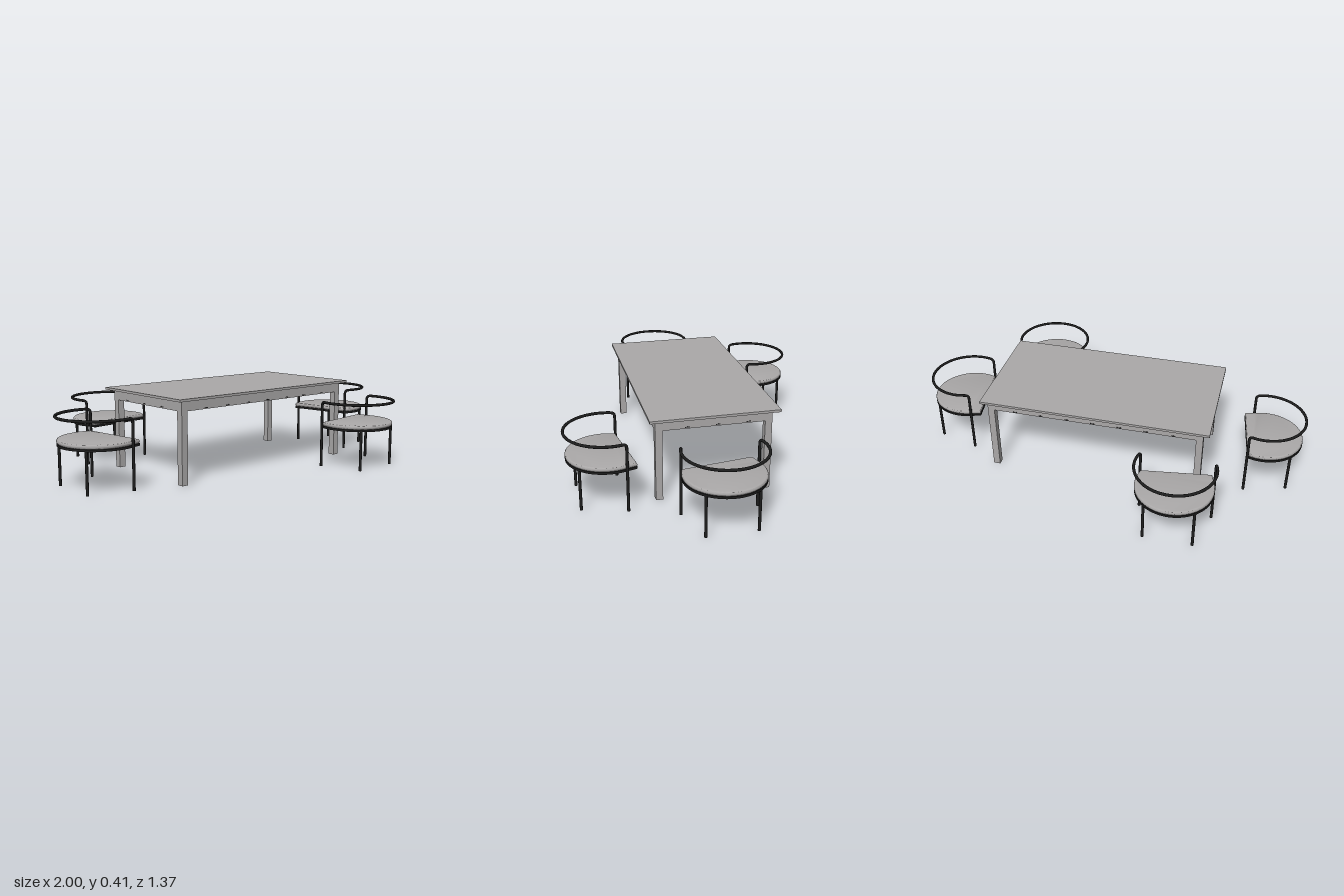
import * as THREE from 'three';
import { toCreasedNormals } from 'three/addons/utils/BufferGeometryUtils.js';

const stone = new THREE.MeshStandardMaterial({ color: 0xaaa8a8 });
stone.name = 'warm grey';
const black = new THREE.MeshStandardMaterial({ color: 0x1c1c1c });
black.name = 'black metal';

function add(parent, name, geometry, material, x = 0, y = 0, z = 0) {
  const mesh = new THREE.Mesh(geometry, material);
  mesh.name = name;
  mesh.position.set(x, y, z);
  parent.add(mesh);
  return mesh;
}

// Box given by its lower and upper corners
function addBox(parent, name, [x0, y0, z0], [x1, y1, z1], material) {
  return add(parent, name, new THREE.BoxGeometry(x1 - x0, y1 - y0, z1 - z0), material,
    (x0 + x1) / 2, (y0 + y1) / 2, (z0 + z1) / 2);
}

function createTable() {
  const table = new THREE.Group();
  table.name = 'table';
  const [x0, x1, z0, z1] = [-0.518, 0.577, -0.282, 0.272];
  addBox(table, 'tableTop', [-0.55, 0.4, -0.315], [0.605, 0.412, 0.301], stone);
  addBox(table, 'tableApron', [x0, 0.35, z0], [x1, 0.4, z1], stone);
  const w = 0.034;
  for (const x of [x0, x1 - w]) {
    for (const z of [z0, z1 - w]) {
      addBox(table, 'tableLeg', [x, 0, z], [x + w, 0.35, z + w], stone);
    }
  }
  // Small dark slots along the apron
  for (let i = -3; i <= 3; i++) {
    for (const z of [z0, z1]) {
      add(table, 'apronSlot', new THREE.BoxGeometry(0.022, 0.004, 0.002), black, 0.03 + i * 0.134, 0.356, z);
    }
  }
  for (let i = -1; i <= 1; i++) {
    for (const x of [x0, x1]) {
      add(table, 'apronSlot', new THREE.BoxGeometry(0.002, 0.004, 0.022), black, x, 0.357, -0.022 + i * 0.145);
    }
  }
  return table;
}

// Round seat outline with a straight front
function seatShape() {
  const a = -Math.asin(0.07 / 0.19);
  const shape = new THREE.Shape();
  shape.moveTo(0.162, -0.118);
  shape.absarc(0, 0, 0.19, a, Math.PI - a, false);
  shape.lineTo(-0.162, -0.118);
  shape.closePath();
  return shape;
}

function seatLayer(depth, bevel) {
  const geometry = new THREE.ExtrudeGeometry(seatShape(), {
    depth: depth - 2 * bevel, curveSegments: 40, bevelEnabled: bevel > 0,
    bevelThickness: bevel, bevelSize: bevel, bevelOffset: -bevel, bevelSegments: 4,
  });
  geometry.translate(0, 0, bevel).rotateX(-Math.PI / 2);
  return toCreasedNormals(geometry, 0.7);
}

// One bent tube: front leg, curved arm and back rail, other front leg
function armPath() {
  const r = 0.193, top = 0.335, bend = 0.02;
  const a = -Math.asin(0.07 / r);
  const at = (t, y) => new THREE.Vector3(r * Math.cos(t), y, -r * Math.sin(t));
  const start = a + bend / r, end = Math.PI - start;
  const arc = [];
  for (let i = 0; i <= 32; i++) arc.push(at(start + (end - start) * i / 32, top));
  const path = new THREE.CurvePath();
  const b = Math.PI - a;
  path.add(new THREE.LineCurve3(at(a, 0), at(a, top - bend)));
  path.add(new THREE.QuadraticBezierCurve3(at(a, top - bend), at(a, top), arc[0]));
  path.add(new THREE.CatmullRomCurve3(arc));
  path.add(new THREE.QuadraticBezierCurve3(arc[32], at(b, top), at(b, top - bend)));
  path.add(new THREE.LineCurve3(at(b, top - bend), at(b, 0)));
  return path;
}

function createChair(name, x, z, turn) {
  const chair = new THREE.Group();
  chair.name = name;
  const radius = 0.007;
  add(chair, 'seatCushion', seatLayer(0.021, 0.009), stone, 0, 0.21, 0);
  add(chair, 'seatBase', seatLayer(0.011, 0), black, 0, 0.2, 0);
  add(chair, 'armAndFrontLegs', new THREE.TubeGeometry(armPath(), 180, radius, 10), black);
  for (const side of [-1, 1]) {
    add(chair, 'backLeg', new THREE.CylinderGeometry(radius, radius, 0.205, 12), black, side * 0.12, 0.1025, -0.138);
    add(chair, 'frontFoot', new THREE.CylinderGeometry(radius, radius, 0.004, 12), black, side * 0.18, 0.002, 0.07);
  }
  chair.position.set(x, 0, z);
  chair.rotation.y = turn;
  return chair;
}

export function createModel() {
  const model = new THREE.Group();
  model.name = 'diningSet';
  model.add(
    createTable(),
    createChair('backChair', -0.422, -0.488, 0),
    createChair('frontChair', 0.465, 0.482, Math.PI),
    createChair('rightChair', -0.8, 0.008, Math.PI / 2),
    createChair('leftChair', 0.8, 0.008, -Math.PI / 2),
  );
  return model;
}
